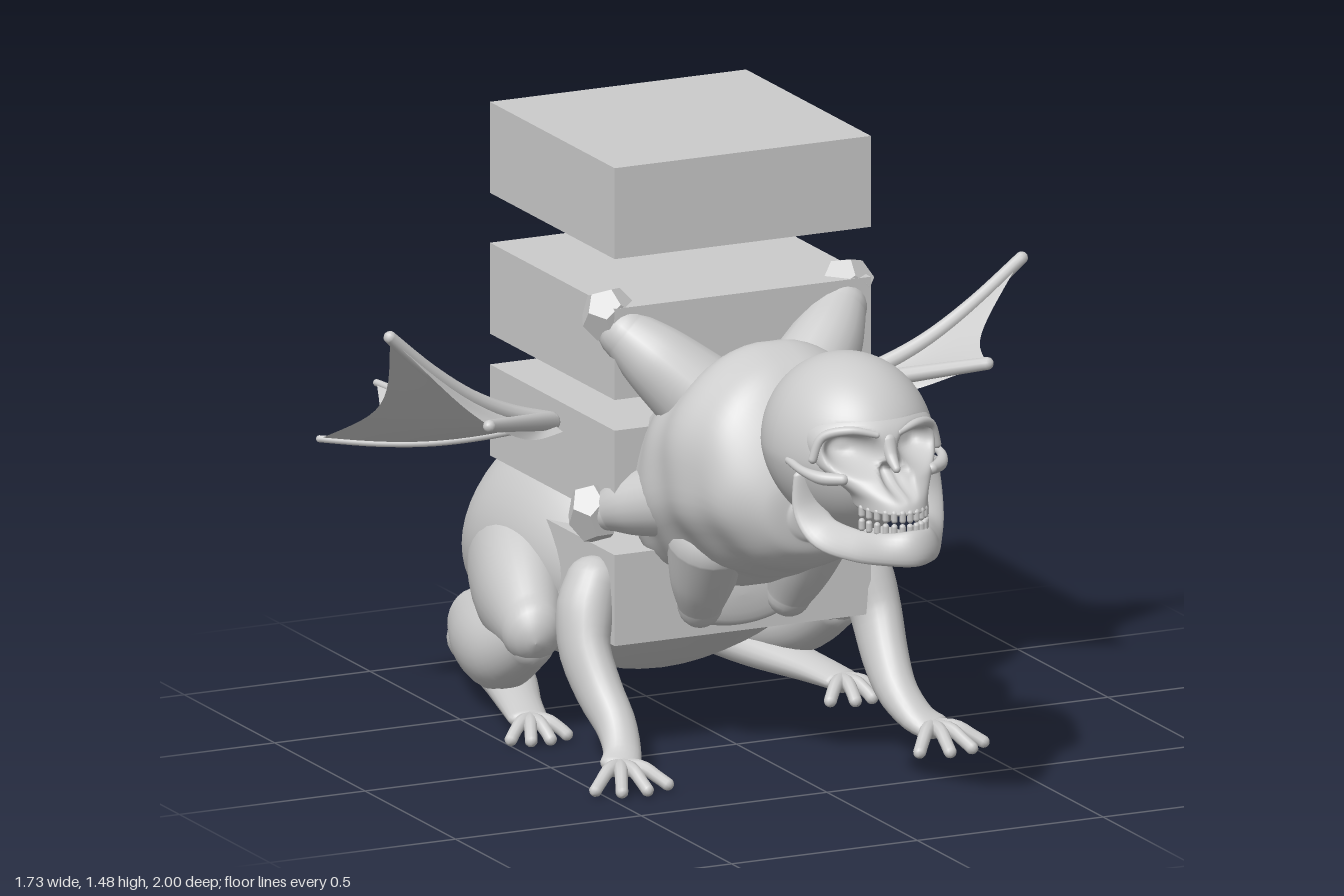
import * as THREE from 'three';

const grey = new THREE.MeshStandardMaterial({ color: 0xcccccc });
const thin = new THREE.MeshStandardMaterial({ color: 0xcccccc, side: THREE.DoubleSide });
const faceted = new THREE.MeshStandardMaterial({ color: 0xcccccc, flatShading: true });

function add(parent, name, geometry, material = grey) {
  const mesh = new THREE.Mesh(geometry, material);
  mesh.name = name;
  parent.add(mesh);
  return mesh;
}

// Catmull-Rom blend of rows of numbers
function spline(keys, t) {
  const f = t * (keys.length - 1), i = Math.min(Math.floor(f), keys.length - 2), u = f - i;
  const at = (k) => keys[Math.max(0, Math.min(keys.length - 1, k))];
  const [a, b, c, d] = [at(i - 1), at(i), at(i + 1), at(i + 2)];
  return b.map((v, k) => v + 0.5 * u * (c[k] - a[k] + u * (2 * a[k] - 5 * v + 4 * c[k] - d[k] + u * (3 * (v - c[k]) + d[k] - a[k]))));
}

// Round-ended smooth skin along keys [x, y, z, radius, radius2]; the first radius lies along ref.
// With an axis, all cross-sections stay square to it.
function limb(keys, { around = 20, steps = 20, ref = [1, 0, 0], cap = 1, axis } = {}) {
  const rows = keys.map((k) => [k[0], k[1], k[2], k[3], k[4] ?? k[3]]);
  const pos = [], index = [], refV = new THREE.Vector3(...ref);
  let count = 0;
  function ring(t, lift, shrink) {
    const p = spline(rows, t), a = spline(rows, Math.max(0, t - 0.01)), b = spline(rows, Math.min(1, t + 0.01));
    const T = new THREE.Vector3(...(axis ?? [b[0] - a[0], b[1] - a[1], b[2] - a[2]])).normalize();
    const N = refV.clone().addScaledVector(T, -T.dot(refV)).normalize();
    const B = T.clone().cross(N);
    const c = new THREE.Vector3(p[0], p[1], p[2]).addScaledVector(T, lift * cap * Math.min(p[3], p[4]));
    for (let j = 0; j < around; j++) {
      const q = (j / around) * Math.PI * 2;
      const v = c.clone().addScaledVector(N, Math.cos(q) * p[3] * shrink).addScaledVector(B, Math.sin(q) * p[4] * shrink);
      pos.push(v.x, v.y, v.z);
    }
    count++;
  }
  const capAngles = [1.56, 1.25, 0.9, 0.55, 0.25];
  capAngles.forEach((a) => ring(0, -Math.sin(a), Math.cos(a)));
  for (let i = 0; i <= steps; i++) ring(i / steps, 0, 1);
  [...capAngles].reverse().forEach((a) => ring(1, Math.sin(a), Math.cos(a)));
  for (let i = 0; i < count - 1; i++) for (let j = 0; j < around; j++) {
    const k = (j + 1) % around, a = i * around + j, b = i * around + k;
    index.push(a, b, b + around, a, b + around, a + around);
  }
  const g = new THREE.BufferGeometry();
  g.setAttribute('position', new THREE.Float32BufferAttribute(pos, 3));
  g.setIndex(index);
  g.computeVertexNormals();
  return g;
}

// Trunk along z from rows [z, top, bottom, half width]
const trunk = (rows) => limb(rows.map(([z, t, b, w]) => [0, (t + b) / 2, z, w, (t - b) / 2]),
  { around: 56, steps: 48, cap: 0.2, axis: [0, 0, 1] });

// Moves each vertex by a rule
function warp(g, rule) {
  const p = g.attributes.position, v = new THREE.Vector3();
  for (let i = 0; i < p.count; i++) {
    rule(v.fromBufferAttribute(p, i));
    p.setXYZ(i, v.x, v.y, v.z);
  }
  g.computeVertexNormals();
  return g;
}

// Eye sockets and nose opening
function sockets(v) {
  if (v.z < 0.7) return;
  const pit = (dx, dy) => Math.exp(-((dx * dx + dy * dy) ** 2));
  const x = Math.abs(v.x);
  v.z -= 0.09 * pit((x - 0.085) / 0.052, (v.y - 0.942) / 0.042)
    + 0.05 * pit((x - 0.014) / 0.02, (v.y - 0.88) / 0.032);
}

function skull() {
  const g = new THREE.Group();
  g.name = 'skull';
  const dome = new THREE.SphereGeometry(1, 72, 56).scale(0.203, 0.22, 0.24).translate(0, 0.91, 0.615);
  add(g, 'cranium', warp(dome, (v) => {
    if (v.y < 0.9) v.x *= 1 - 0.5 * (0.9 - v.y);
    sockets(v);
  }));
  const face = limb([
    [0, 0.81, 0.85, 0.085, 0.115], [0, 0.84, 0.835, 0.095, 0.115], [0, 0.875, 0.79, 0.13, 0.115],
    [0, 0.91, 0.75, 0.16, 0.115], [0, 0.96, 0.72, 0.17, 0.135], [0, 1.0, 0.7, 0.155, 0.138], [0, 1.04, 0.68, 0.11, 0.12],
  ], { around: 96, steps: 48, cap: 0.15, axis: [0, 1, 0] });
  add(g, 'face', warp(face, sockets));
  add(g, 'noseBridge', limb([[0, 0.965, 0.835, 0.022], [0, 0.93, 0.855, 0.016], [0, 0.905, 0.885, 0.01]]));
  // Jaw: a V-shaped band with rising hinges
  const half = [[0.17, 0.87, 0.715, 0.012, 0.025], [0.16, 0.79, 0.725, 0.013, 0.042], [0.14, 0.735, 0.77, 0.016, 0.045],
    [0.1, 0.72, 0.865, 0.018, 0.04], [0.055, 0.725, 0.95, 0.02, 0.04]];
  const ring = [...half, [0, 0.728, 0.98, 0.02, 0.044], ...half.map(([x, ...r]) => [-x, ...r]).reverse()];
  add(g, 'jaw', limb(ring, { ref: [0, 0.25, 1], steps: 60 }));
  add(g, 'jawFloor', new THREE.SphereGeometry(1, 24, 12).scale(0.095, 0.022, 0.17).translate(0, 0.7, 0.8));
  // Two rows of teeth on an arch
  for (const [y, name] of [[0.804, 'upperTooth'], [0.77, 'lowerTooth']]) for (let i = -6; i <= 6; i++) {
    const a = i * 0.22;
    const t = add(g, name, new THREE.CapsuleGeometry(0.0085, 0.016, 3, 8));
    t.position.set(Math.sin(a) * 0.085, y, 0.83 + Math.cos(a) * 0.13);
  }
  for (const s of [1, -1]) {
    add(g, 'cheekbone', limb([[0.12 * s, 0.88, 0.835, 0.014], [0.16 * s, 0.88, 0.8, 0.016], [0.187 * s, 0.89, 0.75, 0.011], [0.19 * s, 0.9, 0.68, 0.01]], { ref: [0, 1, 0] }));
    add(g, 'browRidge', limb([[0.03 * s, 0.982, 0.838, 0.008], [0.09 * s, 0.994, 0.815, 0.011], [0.145 * s, 0.975, 0.775, 0.012], [0.167 * s, 0.92, 0.765, 0.011]], { ref: [0, 0, 1] }));
  }
  return g;
}

// Spread fingers or toes from a palm
function digits(parent, name, s, [x, y, z], length, angles) {
  for (const a of angles) {
    const at = (d, h, r) => [s * (x + Math.sin(a) * d * length), h, z + Math.cos(a) * d * length, r];
    add(parent, name, limb([at(0, y, 0.026), at(0.45, y + 0.008, 0.018), at(0.8, 0.032, 0.016), at(1, 0.018, 0.016)], { around: 10, steps: 10, ref: [0, 1, 0] }));
  }
}

function wing(s) {
  const g = new THREE.Group();
  g.name = s > 0 ? 'leftWing' : 'rightWing';
  const V = (x, y, z) => new THREE.Vector3(x * s, y, z);
  const hub = V(0.38, 0.795, -0.25);
  const tips = [V(0.38, 0.72, -0.64), V(0.55, 0.765, -0.86), V(0.83, 0.72, -0.6), V(0.85, 1.08, -0.17), V(0.67, 0.88, 0.01), V(0.37, 0.78, -0.2)];
  const droop = [0.01, 0.025, 0.03, 0.045, 0, 0];
  const n = 14;
  for (let k = 0; k < tips.length - 1; k++) {
    const pos = [], index = [];
    for (let i = 0; i <= n; i++) for (let j = 0; j <= n; j++) {
      const u = i / n, v = j / n, sag = Math.sin(Math.PI * u);
      const p = tips[k].clone().lerp(tips[k + 1], u).sub(hub).multiplyScalar(v * (1 - 0.13 * sag)).add(hub);
      p.y -= 0.03 * sag * v + (droop[k] * (1 - u) + droop[k + 1] * u) * Math.sin(Math.PI * v);
      pos.push(p.x, p.y, p.z);
      if (i < n && j < n) {
        const a = i * (n + 1) + j, b = a + n + 1;
        index.push(a, a + 1, b, b, a + 1, b + 1);
      }
    }
    const m = new THREE.BufferGeometry();
    m.setAttribute('position', new THREE.Float32BufferAttribute(pos, 3));
    m.setIndex(index);
    m.computeVertexNormals();
    add(g, 'wingMembrane', m, thin);
  }
  // Finger bones following the membrane, thicker along the leading edge
  for (let k = 1; k < 5; k++) {
    const row = [0, 0.25, 0.5, 0.75, 1].map((v) => {
      const p = hub.clone().lerp(tips[k], v);
      return [p.x, p.y - droop[k] * Math.sin(Math.PI * v), p.z, k > 2 ? 0.025 - 0.009 * v : 0.012 - 0.003 * v];
    });
    add(g, 'wingBone', limb(row, { around: 10, ref: [0, 1, 0] }));
  }
  return g;
}

export function createModel() {
  const model = new THREE.Group();
  // Floating stack of slabs
  for (const y of [0.403, 0.715, 1.02, 1.373]) add(model, 'slab', new THREE.BoxGeometry(0.69, 0.228, 0.69)).position.set(0.012, y, -0.335);

  add(model, 'hindBody', trunk([
    [-0.998, 0.25, 0.2, 0.02], [-0.985, 0.32, 0.155, 0.1], [-0.95, 0.41, 0.12, 0.2], [-0.88, 0.53, 0.095, 0.295], [-0.78, 0.64, 0.08, 0.36],
    [-0.65, 0.73, 0.07, 0.395], [-0.45, 0.74, 0.085, 0.38], [-0.25, 0.62, 0.16, 0.32], [-0.1, 0.52, 0.24, 0.25], [0.02, 0.46, 0.31, 0.16],
  ]));

  // Torso with soft rolls of flesh
  add(model, 'torso', warp(trunk([
    [-0.1, 0.9, 0.4, 0.25], [0, 0.97, 0.4, 0.28], [0.1, 1.02, 0.43, 0.29], [0.2, 1.055, 0.47, 0.285],
    [0.3, 1.03, 0.5, 0.265], [0.39, 0.94, 0.535, 0.22], [0.45, 0.82, 0.58, 0.15], [0.465, 0.76, 0.62, 0.09],
  ]), (v) => {
    const k = 1 + 0.012 * Math.sin(v.z * 42 + v.y * 6) + 0.012 * Math.sin(v.y * 30 + Math.abs(v.x) * 25);
    v.x *= k;
    v.y = 0.74 + (v.y - 0.74) * k;
  }));
  model.add(skull());

  for (const s of [1, -1]) {
    const part = (name, keys, opts) => add(model, name, limb(keys.map(([x, ...r]) => [x * s, ...r]), opts));
    const gem = (x, y, z, w, h) => {
      const m = add(model, 'stumpGem', new THREE.DodecahedronGeometry(1), faceted);
      m.scale.set(w, h, w);
      m.position.set(x * s, y, z);
      m.rotation.set(0.3, 0.4 * s, -0.4 * s);
    };
    // Stumps of the torso
    part('upperStump', [[0.15, 0.92, 0.08, 0.11], [0.23, 1.0, 0.03, 0.09], [0.29, 1.06, -0.02, 0.065]], { ref: [0, 0, 1] });
    gem(0.32, 1.105, -0.05, 0.07, 0.07);
    part('middleStump', [[0.2, 0.66, 0.06, 0.1], [0.28, 0.63, -0.02, 0.075], [0.32, 0.61, -0.06, 0.05]], { ref: [0, 1, 0] });
    gem(0.345, 0.6, -0.085, 0.065, 0.082);
    part('lowerStump', [[0.14, 0.56, 0.13, 0.1, 0.11], [0.13, 0.45, 0.08, 0.08, 0.08], [0.12, 0.375, 0.045, 0.055, 0.055]]);

    // Front limbs
    part('arm', [[0.35, 0.43, -0.08, 0.065, 0.07], [0.375, 0.37, -0.065, 0.07, 0.077], [0.392, 0.28, -0.035, 0.06, 0.078], [0.385, 0.19, 0.03, 0.055, 0.068],
      [0.378, 0.12, 0.11, 0.05, 0.052], [0.395, 0.07, 0.18, 0.047, 0.035], [0.42, 0.05, 0.22, 0.05, 0.025]], { around: 24 });
    digits(model, 'finger', s, [0.42, 0.045, 0.22], 0.125, [-0.7, -0.1, 0.42, 0.95]);

    // Folded hind limbs
    part('thigh', [[0.14, 0.31, -0.82, 0.1, 0.12], [0.235, 0.335, -0.68, 0.14, 0.18], [0.35, 0.32, -0.47, 0.115, 0.155], [0.41, 0.27, -0.29, 0.075, 0.085]], { around: 32 });
    part('shank', [[0.41, 0.24, -0.3, 0.06, 0.07], [0.395, 0.16, -0.48, 0.08, 0.09], [0.325, 0.13, -0.7, 0.09, 0.1], [0.265, 0.12, -0.885, 0.075, 0.09]], { around: 28 });
    part('foot', [[0.275, 0.09, -0.88, 0.07, 0.065], [0.33, 0.07, -0.6, 0.07, 0.05], [0.39, 0.055, -0.4, 0.055, 0.035], [0.42, 0.045, -0.29, 0.05, 0.024]]);
    digits(model, 'toe', s, [0.42, 0.04, -0.28], 0.095, [-0.75, -0.1, 0.42, 0.95]);
    model.add(wing(s));
  }
  return model;
}
